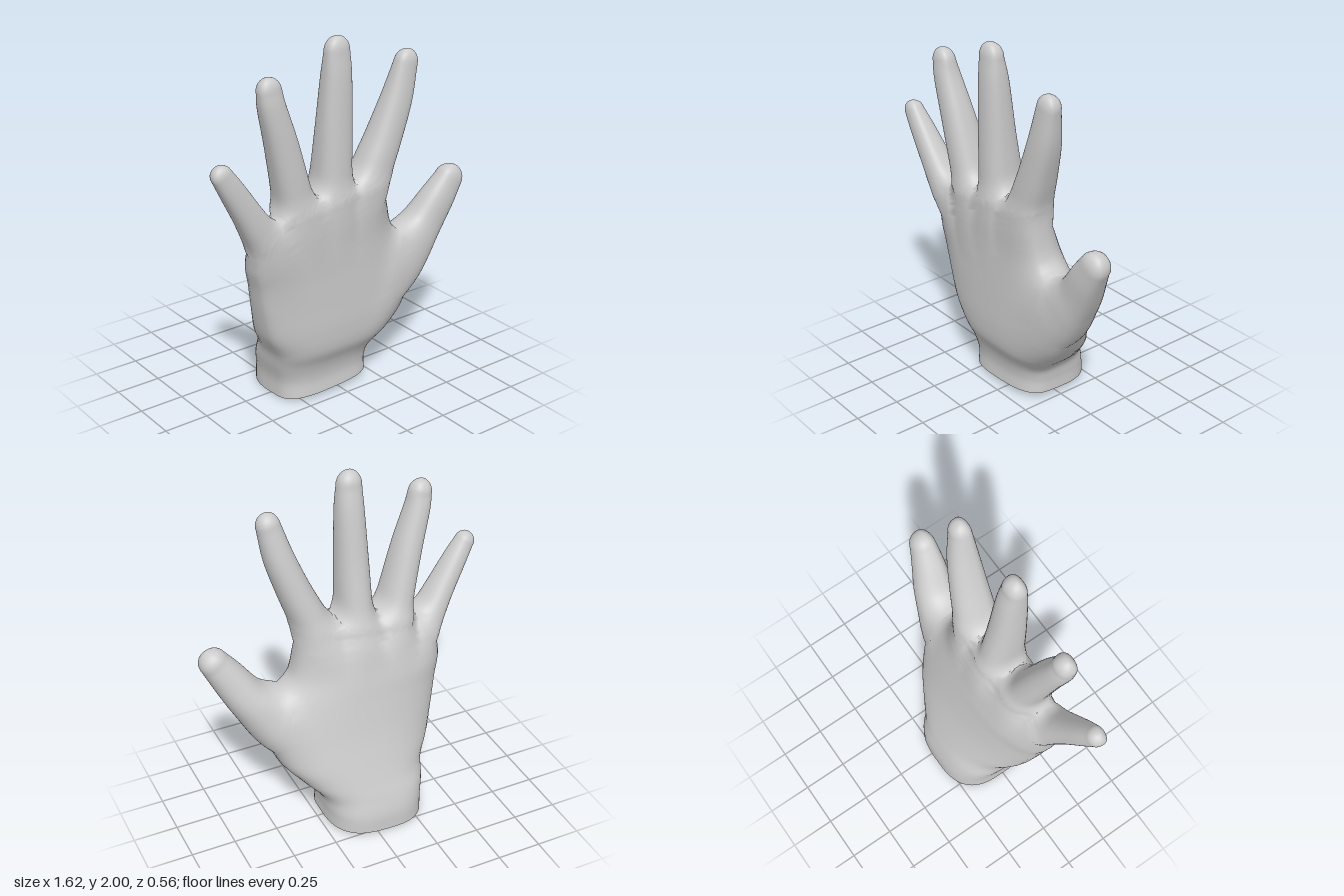
import * as THREE from 'three';

const SIDES = 48;
const BLEND = 0.12; // reach of the soft joins between palm and digits
// The wrist end is open, so the inside can be seen
const skin = new THREE.MeshStandardMaterial({ color: 0xcccccc, side: THREE.DoubleSide });

const power = (v, p) => Math.sign(v) * Math.abs(v) ** p;

// One cross-section: width runs along the tilt in the xy plane, depth along z.
// Lower square and frontSquare values make the section and its front boxier.
function section(x, y, half, back, front, tilt, scale, square, frontSquare) {
  const middle = front - (front - back) * 0.4;
  const points = [];
  for (let j = 0; j < SIDES; j++) {
    const a = (j / SIDES) * Math.PI * 2;
    const w = half * scale * power(Math.cos(a), square);
    const s = Math.sin(a);
    const z = s > 0
      ? (front - middle) * power(s, frontSquare)
      : (middle - back) * power(s, square);
    points.push(new THREE.Vector3(
      x + w * Math.cos(tilt), y + w * Math.sin(tilt), middle + scale * z));
  }
  return points;
}

// Smooth loft through [x, y, halfWidth, zBack, zFront, tilt] with a rounded tip.
// Without a tilt, sections stand square to the path.
function loft(rings, tipHeight, squareAt, frontSquare) {
  const path = new THREE.CatmullRomCurve3(
    rings.map((r) => new THREE.Vector3(r[0], r[1], r[2])), false, 'catmullrom');
  const depth = new THREE.CatmullRomCurve3(
    rings.map((r) => new THREE.Vector3(r[3], r[4], r[5] ?? 0)), false, 'catmullrom');
  const steps = (rings.length - 1) * 7;
  const sections = [];
  let p, d, tilt;
  for (let i = 0; i <= steps; i++) {
    p = path.getPoint(i / steps);
    d = depth.getPoint(i / steps);
    const t = path.getTangent(i / steps);
    tilt = rings[0].length > 5 ? d.z : Math.atan2(-t.x, t.y);
    sections.push(section(p.x, p.y, p.z, d.x, d.y, tilt, 1, squareAt(p.y), frontSquare));
  }
  const dx = -Math.sin(tilt) * tipHeight;
  const dy = Math.cos(tilt) * tipHeight;
  for (let k = 1; k <= 8; k++) {
    const a = (k / 8.4) * Math.PI / 2;
    const s = Math.sin(a);
    sections.push(section(p.x + dx * s, p.y + dy * s, p.z, d.x, d.y, tilt,
      Math.cos(a), squareAt(p.y), frontSquare));
  }
  const tip = new THREE.Vector3(p.x + dx, p.y + dy, d.y - (d.y - d.x) * 0.4);

  const points = [...sections.flat(), tip];
  const index = [];
  for (let i = 0; i < sections.length; i++) {
    for (let j = 0; j < SIDES; j++) {
      const n = (j + 1) % SIDES;
      const a = i * SIDES + j, b = i * SIDES + n;
      if (i === sections.length - 1) index.push(a, points.length - 1, b);
      else index.push(a, a + SIDES, b, b, a + SIDES, b + SIDES);
    }
  }
  return { points, index };
}

function toMesh(name, { points, index }) {
  const geometry = new THREE.BufferGeometry().setFromPoints(points);
  geometry.setIndex(index);
  geometry.computeVertexNormals();
  const mesh = new THREE.Mesh(geometry, skin);
  mesh.name = name;
  return mesh;
}

const vectors = (attribute) => Array.from({ length: attribute.count },
  (_, i) => new THREE.Vector3().fromBufferAttribute(attribute, i));

// Fillet the joins: near another part, swell each vertex outwards where the
// surfaces meet at an angle, and let the normals of both sides agree.
function blendJoins(palm, digits) {
  const read = (mesh) => ({
    geometry: mesh.geometry,
    points: vectors(mesh.geometry.attributes.position),
    normals: vectors(mesh.geometry.attributes.normal),
  });
  const palmData = read(palm);
  const digitData = digits.map(read);
  const palmOthers = {
    points: digitData.flatMap((d) => d.points),
    normals: digitData.flatMap((d) => d.normals),
  };
  const pairs = [[palmData, palmOthers], ...digitData.map((d) => [d, palmData])];
  for (const [part, other] of pairs) {
    const { position, normal } = part.geometry.attributes;
    const links = part.points.map((p, i) => {
      let near = 0, best = Infinity;
      other.points.forEach((q, k) => {
        const dist = p.distanceToSquared(q);
        if (dist < best) { best = dist; near = k; }
      });
      const n = part.normals[i], m = other.normals[near];
      const height = Math.abs(p.clone().sub(other.points[near]).dot(m));
      const gap = Math.max(height, Math.sqrt(best) - 0.03);
      const weight = Math.max(0, 1 - gap / BLEND);
      const swell = weight ** 2 * (BLEND / 4) * Math.min(1, 1 - n.dot(m));
      const moved = p.clone().addScaledVector(n, swell);
      position.setXYZ(i, moved.x, moved.y, moved.z);
      return { m, weight };
    });
    part.geometry.computeVertexNormals();
    links.forEach(({ m, weight }, i) => {
      const n = new THREE.Vector3().fromBufferAttribute(normal, i).lerp(m, weight ** 2 / 2).normalize();
      normal.setXYZ(i, n.x, n.y, n.z);
    });
  }
}

// Palm and wrist, from the cut edge up to the finger webs
const palmRings = [
  [-0.055, 0.0, 0.285, -0.28, 0.2, 0],
  [-0.055, 0.1, 0.287, -0.275, 0.195, 0],
  [-0.055, 0.2, 0.31, -0.25, 0.215, 0],
  [-0.02, 0.3, 0.37, -0.215, 0.262, 0],
  [-0.005, 0.42, 0.45, -0.175, 0.278, 0],
  [-0.015, 0.57, 0.48, -0.13, 0.28, 0],
  [-0.055, 0.74, 0.472, -0.09, 0.28, 0.03],
  [-0.112, 0.88, 0.44, -0.06, 0.28, 0.08],
  [-0.12, 1.0, 0.41, -0.02, 0.278, 0.12],
  [-0.095, 1.1, 0.345, 0.035, 0.272, 0.13],
];

// Each digit: rings from the root sunk inside the palm to the start of the tip
const digitRings = {
  thumb: [0.085, [
    [0.2, 0.38, 0.08, 0.02, 0.22],
    [0.31, 0.49, 0.12, -0.01, 0.252],
    [0.41, 0.62, 0.15, -0.015, 0.27],
    [0.5, 0.74, 0.14, 0.012, 0.27],
    [0.585, 0.84, 0.112, 0.045, 0.263],
    [0.665, 0.965, 0.096, 0.09, 0.268],
    [0.73, 1.065, 0.08, 0.125, 0.265],
  ]],
  indexFinger: [0.075, [
    [0.1, 0.86, 0.09, 0.06, 0.22],
    [0.14, 1.0, 0.115, 0.03, 0.258],
    [0.175, 1.13, 0.113, 0.035, 0.274],
    [0.215, 1.25, 0.1, 0.055, 0.278],
    [0.275, 1.4, 0.09, 0.08, 0.278],
    [0.345, 1.6, 0.08, 0.115, 0.275],
    [0.39, 1.785, 0.064, 0.155, 0.265],
  ]],
  middleFinger: [0.08, [
    [-0.06, 0.85, 0.08, 0.03, 0.23],
    [-0.06, 1.0, 0.105, -0.005, 0.262],
    [-0.06, 1.13, 0.106, 0.012, 0.275],
    [-0.057, 1.25, 0.097, 0.04, 0.278],
    [-0.057, 1.5, 0.089, 0.085, 0.278],
    [-0.055, 1.78, 0.078, 0.125, 0.275],
    [-0.058, 1.92, 0.068, 0.155, 0.265],
  ]],
  ringFinger: [0.075, [
    [-0.225, 0.82, 0.08, 0.05, 0.23],
    [-0.255, 0.97, 0.105, 0.012, 0.26],
    [-0.285, 1.11, 0.105, 0.02, 0.274],
    [-0.317, 1.24, 0.092, 0.055, 0.278],
    [-0.388, 1.5, 0.08, 0.1, 0.278],
    [-0.45, 1.7, 0.069, 0.135, 0.273],
    [-0.468, 1.787, 0.064, 0.155, 0.265],
  ]],
  littleFinger: [0.055, [
    [-0.35, 0.72, 0.06, 0.07, 0.21],
    [-0.415, 0.87, 0.1, 0.04, 0.25],
    [-0.475, 0.985, 0.097, 0.05, 0.268],
    [-0.525, 1.06, 0.088, 0.075, 0.275],
    [-0.6, 1.18, 0.075, 0.11, 0.275],
    [-0.695, 1.33, 0.064, 0.145, 0.273],
    [-0.757, 1.425, 0.055, 0.17, 0.268],
  ]],
};

export function createModel() {
  const hand = new THREE.Group();
  hand.name = 'hand';

  // Boxy at the wrist, rounder towards the knuckles
  const palmLoft = loft(palmRings, 0.08, (y) => 0.7 + 0.18 * THREE.MathUtils.smoothstep(y, 0.1, 0.5), 0.55);
  // Slant the wrist cut: higher at the front and on the thumb side
  for (const p of palmLoft.points) {
    p.y += Math.max(0, 1 - p.y / 0.2) * Math.max(0, 0.022 + 0.05 * p.x + 0.04 * p.z);
  }
  const palm = toMesh('palm', palmLoft);
  const digits = Object.entries(digitRings).map(([name, [tipHeight, rings]]) =>
    toMesh(name, loft(rings, tipHeight, () => 0.9, 0.85)));
  blendJoins(palm, digits);
  hand.add(palm, ...digits);
  return hand;
}
